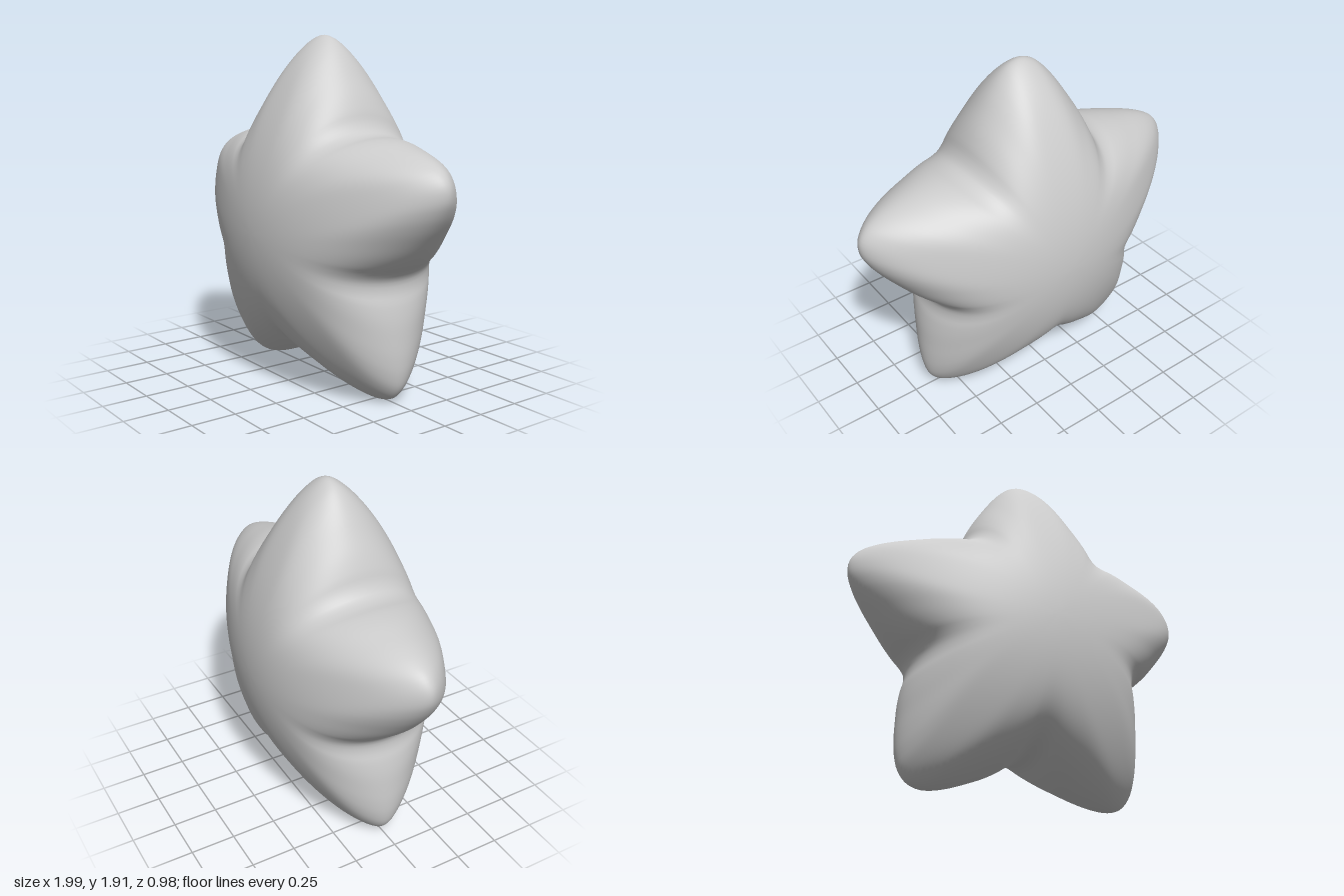
import * as THREE from 'three';
import { mergeVertices } from 'three/addons/utils/BufferGeometryUtils.js';

const TIP = 1.04, VALLEY = 0.665, CENTRE_Y = 0.86, DEPTH = 0.49;

// Half of one arm, as [along the arm, across the arm], tip to valley
const HALF_ARM = [
  [1.04, 0], [1.02, 0.07], [0.97, 0.13], [0.9, 0.187], [0.82, 0.24],
  [0.73, 0.294], [0.65, 0.332], [0.585, 0.356], [0.538, 0.391],
];

// Counter-clockwise star outline: each arm runs from valley to valley
function starOutline(count) {
  const arm = [
    ...HALF_ARM.slice(1, -1).reverse().map(([a, p]) => [a, -p]),
    ...HALF_ARM,
  ];
  const points = [];
  for (let i = 0; i < 5; i++) {
    const angle = Math.PI / 2 + (i * Math.PI * 2) / 5;
    const c = Math.cos(angle), s = Math.sin(angle);
    for (const [a, p] of arm) points.push(new THREE.Vector3(a * c - p * s, a * s + p * c, 0));
  }
  return new THREE.CatmullRomCurve3(points, true, 'centripetal').getSpacedPoints(count).slice(0, count);
}

// Domed faces with a rounded rim, sharper at the tips than on the flanks
function puffedStar(segments, rings) {
  const outline = starOutline(segments);
  const positions = [], index = [];
  for (let j = 0; j <= rings * 2; j++) {
    const v = 1 - j / rings; // 1 front centre, 0 rim, -1 back centre
    const t = 1 - v * v;
    for (const p of outline) {
      const R = p.length(), r = R * t;
      const k = THREE.MathUtils.clamp((R - VALLEY) / (TIP - VALLEY), 0, 1);
      const n = 7 + 13 * k ** 4;
      const dome = DEPTH * (1 - 0.85 * (r / TIP) ** 2);
      positions.push(p.x * t, p.y * t, Math.sign(v) * dome * Math.sqrt(1 - t ** n));
    }
  }
  for (let j = 0; j < rings * 2; j++) {
    for (let i = 0; i < segments; i++) {
      const a = j * segments + i, b = j * segments + ((i + 1) % segments);
      const c = a + segments, d = b + segments;
      if (j > 0) index.push(a, d, b);
      if (j < rings * 2 - 1) index.push(a, c, d);
    }
  }
  let geometry = new THREE.BufferGeometry();
  geometry.setAttribute('position', new THREE.Float32BufferAttribute(positions, 3));
  geometry.setIndex(index);
  geometry = mergeVertices(geometry, 1e-5);
  geometry.computeVertexNormals();
  return geometry;
}

export function createModel() {
  const group = new THREE.Group();
  group.name = 'puffedStar';

  const geometry = puffedStar(300, 36);
  geometry.translate(0, CENTRE_Y, 0);
  geometry.computeBoundingBox();
  geometry.translate(0, -geometry.boundingBox.min.y, 0); // stand on the ground

  const star = new THREE.Mesh(geometry, new THREE.MeshStandardMaterial({ color: 0xcccccc }));
  star.name = 'starBody';
  group.add(star);
  return group;
}
